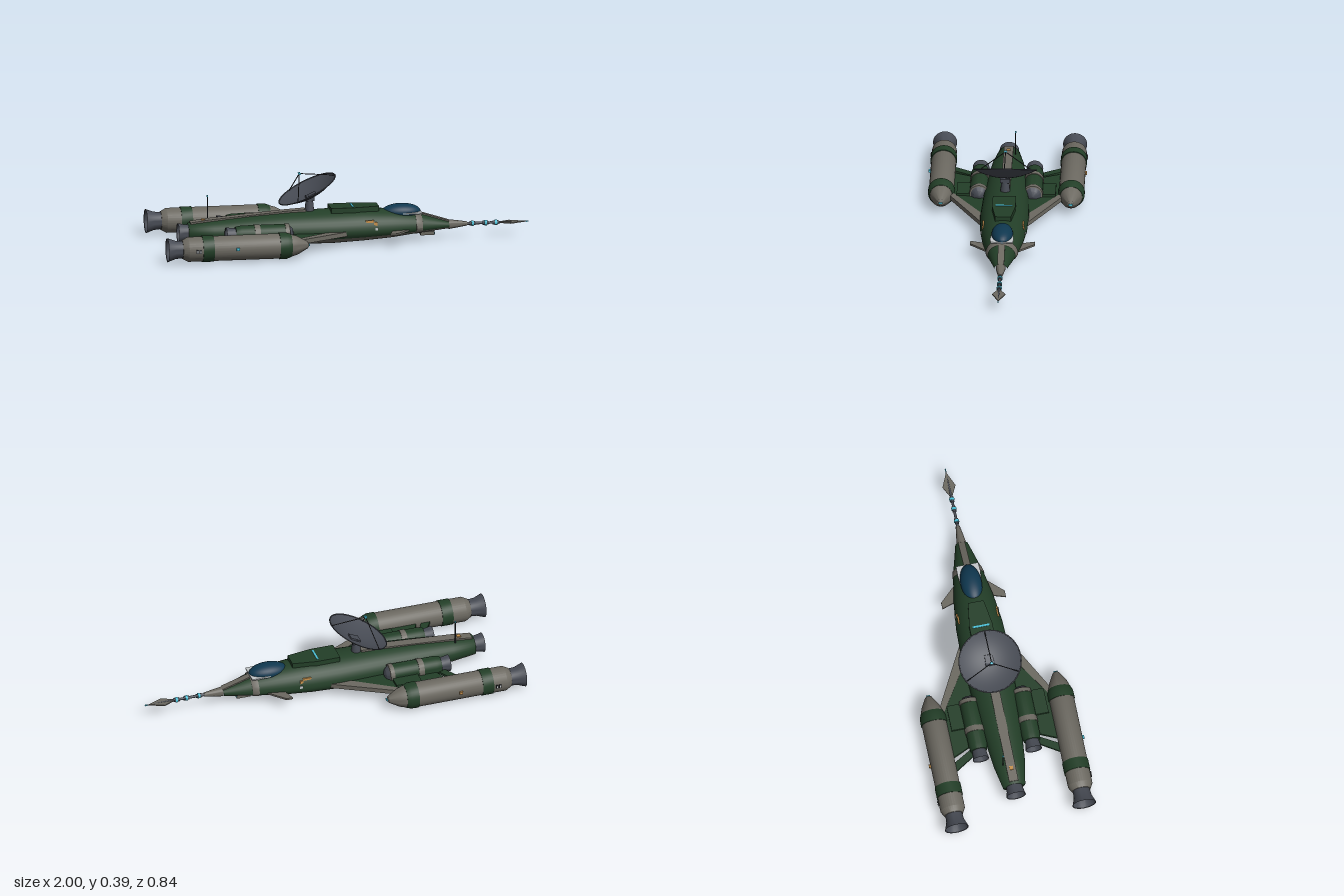
import * as THREE from 'three';
import { toCreasedNormals } from 'three/addons/utils/BufferGeometryUtils.js';

const mat = (name, color, side = THREE.FrontSide) => {
  const m = new THREE.MeshStandardMaterial({ color, side });
  m.name = name;
  return m;
};

export function createModel() {
  const green = mat('hullGreen', 0x233f28);
  const gray = mat('warmGray', 0x6c6961);
  const steel = mat('steel', 0x474b54, THREE.DoubleSide);
  const dark = mat('darkMetal', 0x26282c);
  const glass = mat('canopyBlue', 0x0f3850);
  const cyan = mat('cyanLight', 0x4cc4dc);
  const orange = mat('amber', 0xc8924e);
  const pale = mat('paleTrim', 0xc4c8ca);

  const model = new THREE.Group();
  const add = (name, geo, m, x = 0, y = 0, z = 0, parent = model) => {
    const mesh = new THREE.Mesh(geo, m);
    mesh.name = name;
    mesh.position.set(x, y, z);
    parent.add(mesh);
    return mesh;
  };
  const box = (name, w, h, d, m, x, y, z, parent) =>
    add(name, new THREE.BoxGeometry(w, h, d), m, x, y, z, parent);

  // Round part along x from [x, radius] pairs
  const turned = (name, pts, m, y, z, parent) => {
    const g = new THREE.LatheGeometry(pts.map(([x, r]) => new THREE.Vector2(r, x)), 32);
    g.rotateZ(-Math.PI / 2);
    return add(name, toCreasedNormals(g, 0.5), m, 0, y, z, parent);
  };

  // Skin through sections [x, halfWidth, midY, topY, bottomY] over an arc in degrees
  const loft = (name, sections, a0, a1, m) => {
    const n = 24, pos = [], idx = [];
    for (const [x, w, mid, top, bottom] of sections)
      for (let j = 0; j <= n; j++) {
        const a = THREE.MathUtils.degToRad(a0 + (a1 - a0) * j / n), s = Math.sin(a);
        pos.push(x, mid + s * (s > 0 ? top - mid : mid - bottom), w * Math.cos(a));
      }
    for (let i = 0; i < sections.length - 1; i++)
      for (let j = 0; j < n; j++) {
        const p = i * (n + 1) + j, q = p + n + 1;
        idx.push(p, q, p + 1, q, q + 1, p + 1);
      }
    const g = new THREE.BufferGeometry();
    g.setAttribute('position', new THREE.Float32BufferAttribute(pos, 3));
    g.setIndex(idx);
    g.computeVertexNormals();
    return add(name, g, m);
  };

  const extrude = (pts, depth) => new THREE.ExtrudeGeometry(
    new THREE.Shape(pts.map(p => new THREE.Vector2(...p))), { depth, bevelEnabled: false });
  // Flat plate from [x, z] outline, with its top at y
  const plate = (name, pts, y, thick, m) =>
    add(name, extrude(pts, thick).rotateX(Math.PI / 2), m, 0, y, 0);
  // Centreline slab from [x, y] outline
  const slab = (name, pts, width, m) => add(name, extrude(pts, width), m, 0, 0, -width / 2);

  const strut = (name, a, b, r, m, parent) => {
    const p = new THREE.Vector3(...a), q = new THREE.Vector3(...b), d = q.clone().sub(p);
    const mesh = add(name, new THREE.CylinderGeometry(r, r, d.length(), 8), m, 0, 0, 0, parent);
    mesh.position.copy(p.add(q).multiplyScalar(0.5));
    mesh.quaternion.setFromUnitVectors(new THREE.Vector3(0, 1, 0), d.normalize());
  };

  // Fuselage: green upper skin, gray belly
  const hull = [
    [-0.835, 0.001, 0.085, 0.086, 0.084], [-0.83, 0.06, 0.085, 0.138, 0.032],
    [-0.7, 0.085, 0.085, 0.15, 0.022], [-0.5, 0.105, 0.082, 0.168, 0.011],
    [-0.3, 0.12, 0.08, 0.18, 0.005], [-0.05, 0.13, 0.08, 0.186, 0.005],
    [0.1, 0.125, 0.08, 0.186, 0.012], [0.25, 0.108, 0.08, 0.174, 0.022],
    [0.4, 0.08, 0.08, 0.15, 0.04], [0.57, 0.033, 0.077, 0.097, 0.056]];
  loft('upperHull', hull, -28, 208, green);
  loft('belly', hull, 208, 332, gray);
  loft('noseBand', [[0.385, 0.08, 0.08, 0.15, 0.04], [0.387, 0.087, 0.08, 0.157, 0.036],
    [0.42, 0.079, 0.08, 0.148, 0.042], [0.422, 0.072, 0.08, 0.14, 0.046]], 0, 360, gray);
  slab('noseStrip', [[0.42, 0.1], [0.57, 0.075], [0.57, 0.101], [0.42, 0.149]], 0.036, gray);
  slab('dorsalSpine', [[-0.82, 0.11], [-0.2, 0.15], [-0.2, 0.192], [-0.3, 0.187],
    [-0.72, 0.155], [-0.82, 0.143]], 0.05, gray);
  plate('dorsalHousing', [[-0.07, -0.062], [0.06, -0.062], [0.19, -0.042], [0.19, 0.042],
    [0.06, 0.062], [-0.07, 0.062]], 0.2, 0.04, green);
  box('dorsalLight', 0.01, 0.004, 0.09, cyan, 0.05, 0.201, 0);
  box('spineLight', 0.02, 0.006, 0.02, orange, -0.75, 0.154, 0);

  // Canopy and its sill
  add('canopy', new THREE.SphereGeometry(1, 32, 20).scale(0.105, 0.044, 0.057), glass, 0.315, 0.157, 0);
  plate('canopySill', [[0.3, -0.055], [0.37, -0.062], [0.42, -0.06], [0.42, 0.06],
    [0.37, 0.062], [0.3, 0.055]], 0.158, 0.007, pale);

  // Nose probe with lit rings and a flat blade tip
  turned('noseCone', [[0.57, 0], [0.57, 0.026], [0.62, 0.019], [0.67, 0.011], [0.67, 0]], gray, 0.077, 0);
  turned('probe', [[0.66, 0.008], [0.85, 0.006], [0.995, 0.002], [0.995, 0]], steel, 0.077, 0);
  for (const x of [0.7, 0.77, 0.825]) {
    turned('probeRing', [[x - 0.006, 0], [x - 0.006, 0.014], [x + 0.006, 0.014], [x + 0.006, 0]], cyan, 0.077, 0);
    turned('probeCollar', [[x - 0.016, 0], [x - 0.016, 0.011], [x + 0.014, 0.011], [x + 0.014, 0]], steel, 0.077, 0);
  }
  plate('probeBlade', [[0.83, 0], [0.9, -0.035], [0.98, 0], [0.9, 0.035]], 0.08, 0.006, gray);
  box('probeTip', 0.014, 0.006, 0.006, cyan, 0.993, 0.077, 0);

  // Chin sensor
  box('chinSensor', 0.075, 0.02, 0.04, gray, 0.455, 0.036, 0);
  box('chinStrut', 0.05, 0.025, 0.02, gray, 0.455, 0.054, 0);
  box('chinLens', 0.004, 0.008, 0.024, cyan, 0.493, 0.034, 0);

  // Bell nozzle with a glowing throat
  const nozzle = (name, x0, x1, r0, r1, y, z) => {
    const mid = (x0 + x1) / 2;
    turned(name, [[x0 + 0.002, r0 * 0.94], [x0, r0], [mid, r1 * 1.08], [x1, r1]], steel, y, z);
    turned(name + 'Glow', [[mid, 0], [mid + 0.004, r1]].reverse().map(([x, r]) => [x, r * 0.9]), steel, y, z);
    add(name + 'Core', new THREE.CircleGeometry(r1 * 0.45, 24).rotateY(-Math.PI / 2), cyan, mid - 0.002, y, z);
  };
  nozzle('mainNozzle', -0.885, -0.825, 0.052, 0.042, 0.085, 0);

  for (const s of [1, -1]) {
    const flip = pts => pts.map(([x, z]) => [x, z * s]);
    // Wings, leading edges and trailing braces
    plate('wing', flip([[-0.02, 0.1], [-0.31, 0.28], [-0.61, 0.29], [-0.52, 0.09]]), 0.082, 0.018, green);
    plate('wingLeadingEdge', flip([[0.02, 0.115], [-0.01, 0.135], [-0.31, 0.295], [-0.37, 0.295],
      [-0.08, 0.11]]), 0.085, 0.024, gray);
    plate('wingBrace', flip([[-0.64, 0.29], [-0.69, 0.29], [-0.57, 0.1], [-0.53, 0.1]]), 0.08, 0.014, green);
    box('wingHatch', 0.14, 0.02, 0.075, green, -0.39, 0.085, 0.225 * s);
    plate('foreFin', flip([[0.37, 0.06], [0.265, 0.172], [0.23, 0.172], [0.26, 0.08]]), 0.076, 0.01, gray);

    // Inner engines
    const ez = 0.143 * s;
    turned('innerEngine', [[-0.6, 0], [-0.6, 0.044], [-0.57, 0.05], [-0.34, 0.05], [-0.315, 0.046], [-0.315, 0]],
      green, 0.095, ez);
    turned('innerEngineBand', [[-0.5, 0.045], [-0.5, 0.053], [-0.47, 0.053], [-0.47, 0.045]], gray, 0.095, ez);
    turned('intakeRim', [[-0.335, 0.045], [-0.335, 0.053], [-0.312, 0.051], [-0.31, 0.044]], gray, 0.095, ez);
    turned('intake', [[-0.315, 0.046], [-0.295, 0.028], [-0.285, 0]], steel, 0.095, ez);
    nozzle('innerNozzle', -0.65, -0.595, 0.044, 0.036, 0.095, ez);

    // Outer booster pods
    const pz = 0.345 * s, py = 0.075;
    turned('pod', [[-0.92, 0], [-0.92, 0.05], [-0.89, 0.066], [-0.36, 0.067], [-0.3, 0.049],
      [-0.245, 0.018], [-0.235, 0]], gray, py, pz);
    turned('podRearBand', [[-0.815, 0.06], [-0.815, 0.07], [-0.755, 0.07], [-0.755, 0.06]], green, py, pz);
    turned('podFrontBand', [[-0.4, 0.06], [-0.4, 0.071], [-0.36, 0.07], [-0.335, 0.061], [-0.335, 0.055]], green, py, pz);
    nozzle('podNozzle', -1, -0.915, 0.064, 0.045, py, pz);
    box('podTipLight', 0.006, 0.008, 0.02, cyan, -0.237, py, pz);
    box('navLight', 0.018, 0.014, 0.012, s > 0 ? cyan : orange, -0.63, 0.08, 0.414 * s);
    for (const dx of [-0.008, 0.008]) {
      box('podVentFrame', 0.012, 0.02, 0.006, dark, -0.84 + dx, py, 0.412 * s);
      box('podVent', 0.005, 0.014, 0.003, pale, -0.84 + dx, py, 0.416 * s);
    }

    // Hull side markings
    box('sideMarker', 0.045, 0.012, 0.008, orange, 0.13, 0.132, 0.106 * s);
    box('sideMarkerSmall', 0.018, 0.018, 0.008, orange, 0.16, 0.118, 0.108 * s);
    box('sideVent', 0.015, 0.014, 0.008, pale, 0.165, 0.092, 0.116 * s);
  }

  // Dish antenna on a pedestal
  add('pedestal', new THREE.CylinderGeometry(0.018, 0.026, 0.075, 20), steel, -0.178, 0.215, 0);
  box('pedestalHead', 0.042, 0.022, 0.052, steel, -0.175, 0.247, 0);
  const dish = new THREE.Group();
  dish.name = 'dish';
  dish.position.set(-0.19, 0.298, 0);
  dish.rotation.z = 0.455;
  model.add(dish);
  const bowl = [];
  for (let i = 0; i <= 10; i++) bowl.push(new THREE.Vector2(0.167 * i / 10, -0.045 * (1 - (i / 10) ** 2)));
  add('dishBowl', new THREE.LatheGeometry(bowl, 40), steel, 0, 0, 0, dish);
  add('dishRim', new THREE.TorusGeometry(0.166, 0.003, 8, 40).rotateX(Math.PI / 2), steel, 0, 0, 0, dish);
  box('dishHub', 0.045, 0.01, 0.045, steel, 0.01, -0.04, 0, dish);
  for (let i = 0; i < 3; i++) {
    const a = i * Math.PI * 2 / 3;
    strut('feedLeg', [0.16 * Math.cos(a), 0, 0.16 * Math.sin(a)], [0, 0.095, 0], 0.0025, dark, dish);
  }
  box('dishFeed', 0.012, 0.012, 0.016, cyan, 0, 0.095, 0, dish);

  // Whip antenna
  strut('whipAntenna', [-0.72, 0.12, -0.038], [-0.72, 0.27, -0.038], 0.003, dark);
  box('whipTip', 0.008, 0.008, 0.008, cyan, -0.72, 0.272, -0.038);

  return model;
}
